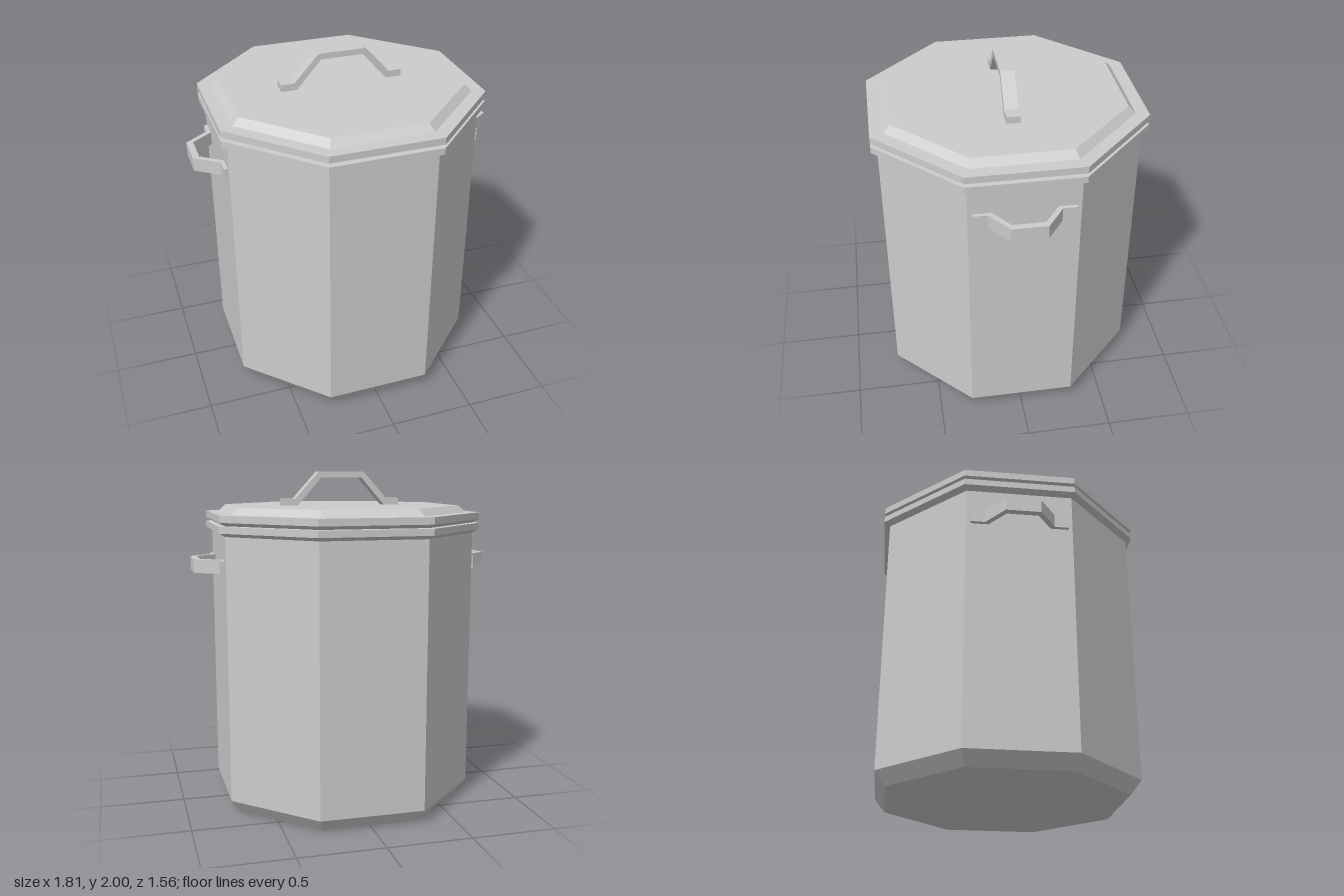
import * as THREE from 'three';

const material = new THREE.MeshStandardMaterial({ color: 0xcccccc, flatShading: true });

// Octagonal solid from [distance to flat side, height] points, flats facing x and z
function octagon(name, profile) {
  const points = profile.map(([a, y]) => new THREE.Vector2(a / Math.cos(Math.PI / 8), y));
  const mesh = new THREE.Mesh(new THREE.LatheGeometry(points, 8, Math.PI / 8), material);
  mesh.name = name;
  return mesh;
}

// Bent strap: half an outline, mirrored across the middle and given a width
function strap(half, width) {
  const mirrored = half.map(([u, v]) => [-u, v]).reverse();
  const shape = new THREE.Shape([...half, ...mirrored].map(([u, v]) => new THREE.Vector2(u, v)));
  return new THREE.ExtrudeGeometry(shape, { depth: width, bevelEnabled: false }).translate(0, 0, -width / 2);
}

export function createModel() {
  const model = new THREE.Group();
  model.name = 'lidded bin';

  // Container with chamfered foot and flared rim
  model.add(octagon('body', [
    [0, 0], [0.685, 0], [0.745, 0.08], [0.745, 1.64],
    [0.78, 1.66], [0.78, 1.698], [0, 1.698],
  ]));

  // Lid with flared edge and raised panel
  model.add(octagon('lid', [
    [0, 1.70], [0.745, 1.70], [0.78, 1.72], [0.78, 1.76],
    [0.705, 1.76], [0.665, 1.80], [0, 1.80],
  ]));

  // Lid handle
  const lidHandle = new THREE.Mesh(strap([
    [0.125, 1.965], [0.27, 1.80], [0.362, 1.80], [0.362, 1.84], [0.285, 1.84], [0.14, 2.0],
  ], 0.08), material);
  lidHandle.name = 'lidHandle';
  model.add(lidHandle);

  // Side handles: the strap lies flat, reaching out along x
  const lieFlat = new THREE.Matrix4().makeBasis(
    new THREE.Vector3(0, 0, 1), new THREE.Vector3(1, 0, 0), new THREE.Vector3(0, 1, 0));
  const sideGeometry = strap([
    [0.09, 0.867], [0.18, 0.745], [0.283, 0.745], [0.283, 0.767], [0.2, 0.767], [0.1, 0.905],
  ], 0.08).applyMatrix4(lieFlat);
  for (const [name, turn] of [['leftHandle', 0], ['rightHandle', Math.PI]]) {
    const handle = new THREE.Mesh(sideGeometry, material);
    handle.name = name;
    handle.position.y = 1.46;
    handle.rotation.y = turn;
    model.add(handle);
  }

  return model;
}
